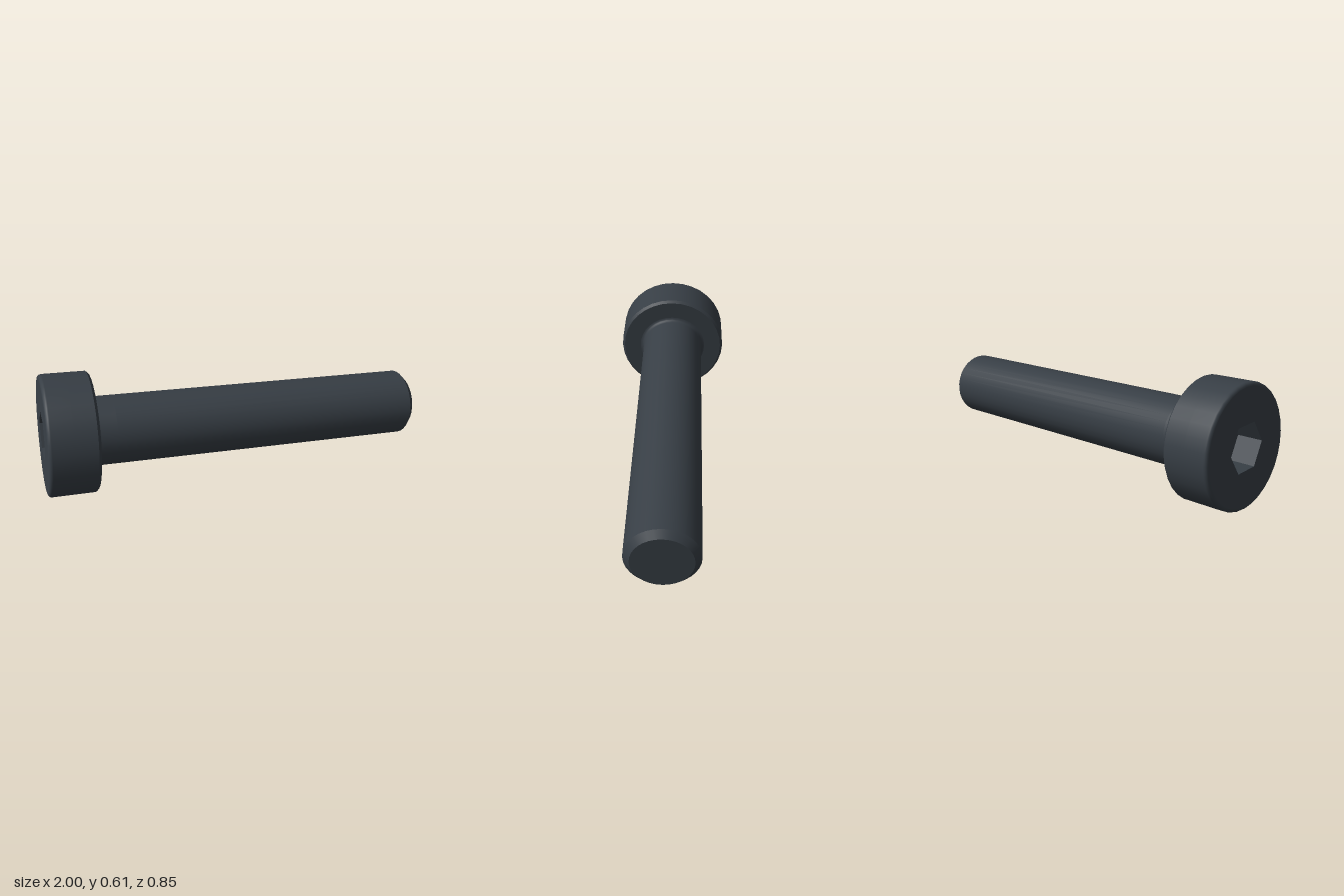
import * as THREE from 'three';

const SEGMENTS = 32;
const LENGTH = 1.953, HEAD_R = 0.299, HEAD_H = 0.24, SHAFT_R = 0.171;
const HEX_R = 0.124, HEX_DEPTH = 0.128;
const ROUND = 0.018, CHAMFER = 0.013, FILLET = 0.02, TIP = 0.03;

// Points of a quarter arc in the (radius, height) plane
function arc(cx, cy, r, from, to, steps = 4) {
  return Array.from({ length: steps + 1 }, (_, i) => {
    const a = from + (to - from) * i / steps;
    return [cx + r * Math.cos(a), cy + r * Math.sin(a)];
  });
}

export function createModel() {
  const blackSteel = new THREE.MeshStandardMaterial({ color: 0x373e45 });
  blackSteel.name = 'blackSteel';

  const screw = new THREE.Group();
  screw.name = 'socketHeadScrew';
  const add = (name, geometry) => {
    const mesh = new THREE.Mesh(geometry, blackSteel);
    mesh.name = name;
    screw.add(mesh);
  };
  // Each turned section is its own lathe so the edges between them stay sharp
  const turn = (name, points) => add(name, new THREE.LatheGeometry(
    points.map(([r, y]) => new THREE.Vector2(r, y)), SEGMENTS));

  // Head: flat end with a hexagonal opening
  const face = new THREE.Shape();
  face.absarc(0, 0, HEAD_R - ROUND, 0, Math.PI * 2);
  const opening = new THREE.Path();
  for (let i = 0; i < 6; i++) {
    const a = -i * Math.PI / 3;
    opening[i ? 'lineTo' : 'moveTo'](HEX_R * Math.cos(a), HEX_R * Math.sin(a));
  }
  opening.closePath();
  face.holes.push(opening);
  add('headFace', new THREE.ShapeGeometry(face, SEGMENTS).rotateX(Math.PI / 2));

  // Hexagonal socket: floor and six inward walls
  const socket = new THREE.LatheGeometry([
    new THREE.Vector2(0, HEX_DEPTH),
    new THREE.Vector2(HEX_R, HEX_DEPTH),
    new THREE.Vector2(HEX_R, 0),
  ], 6, Math.PI / 2).toNonIndexed();
  socket.computeVertexNormals();
  add('hexSocket', socket);

  // Head: rounded rim, side, chamfer and underside
  turn('headSide', [
    ...arc(HEAD_R - ROUND, ROUND, ROUND, -Math.PI / 2, 0),
    [HEAD_R, HEAD_H / 2],
    [HEAD_R, HEAD_H - CHAMFER],
  ]);
  turn('headChamfer', [[HEAD_R, HEAD_H - CHAMFER], [HEAD_R - CHAMFER, HEAD_H]]);
  turn('headUnderside', [[HEAD_R - CHAMFER, HEAD_H], [SHAFT_R + FILLET, HEAD_H]]);

  // Shaft: fillet at the head, plain cylinder, chamfered tip
  turn('shaft', [
    ...arc(SHAFT_R + FILLET, HEAD_H + FILLET, FILLET, Math.PI * 1.5, Math.PI),
    [SHAFT_R, HEAD_H + 0.1],
    [SHAFT_R, LENGTH - TIP],
  ]);
  turn('tipChamfer', [[SHAFT_R, LENGTH - TIP], [SHAFT_R - TIP, LENGTH]]);
  turn('tipFace', [[SHAFT_R - TIP, LENGTH], [0, LENGTH]]);

  // Lay the screw along its tilted axis
  const axis = new THREE.Vector3(0.9754, -0.0755, 0.2068).normalize();
  const side = new THREE.Vector3(-axis.z, 0, axis.x).normalize();
  const up = new THREE.Vector3().crossVectors(side, axis);
  screw.quaternion.setFromRotationMatrix(new THREE.Matrix4().makeBasis(side, axis, up));
  screw.position.set(-0.936, 0.317, -0.136);

  const model = new THREE.Group();
  model.name = 'screwModel';
  model.add(screw);
  return model;
}
